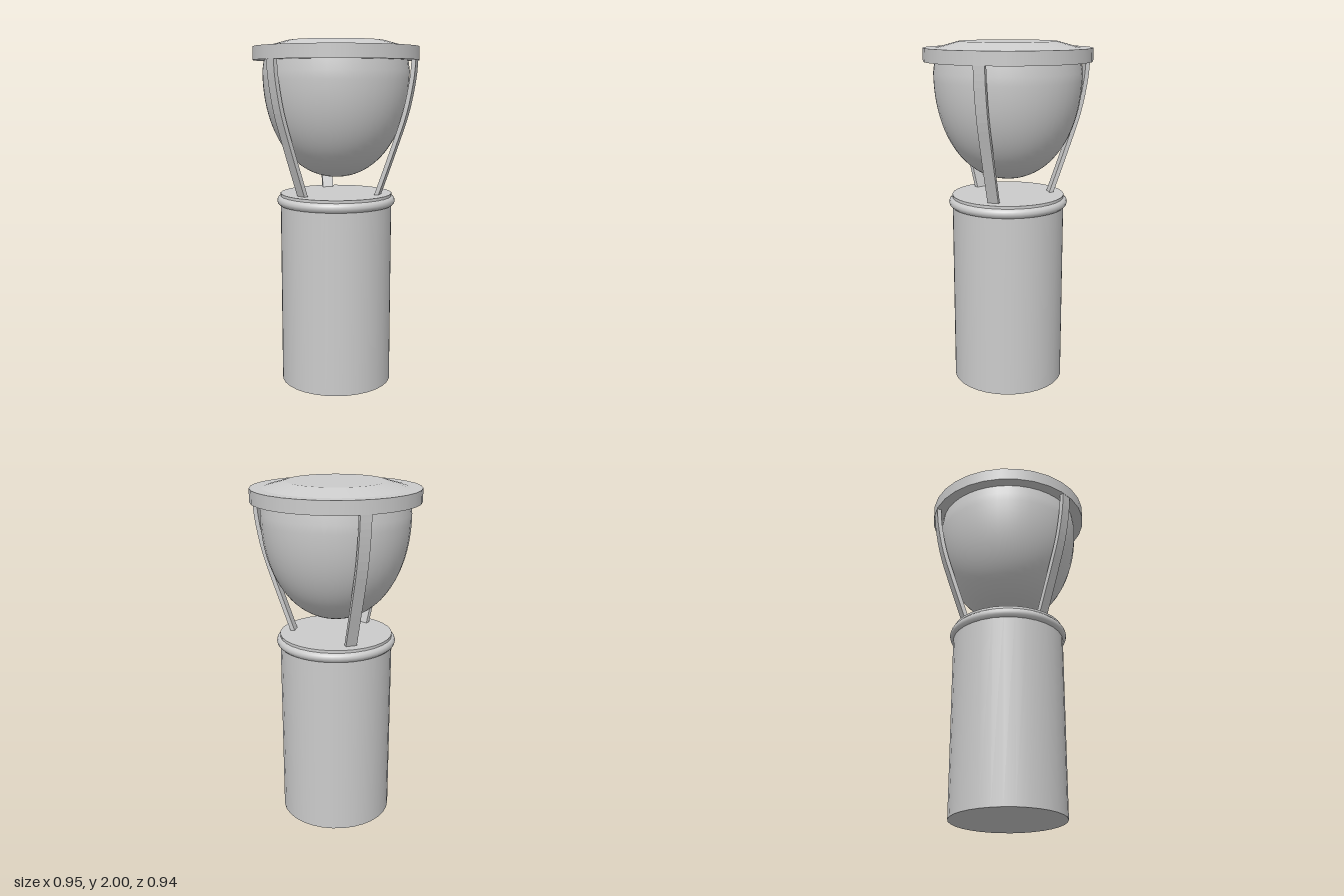
import * as THREE from 'three';

const grey = new THREE.MeshStandardMaterial({ color: 0xcccccc });

export function createModel() {
  const model = new THREE.Group();

  function add(name, geometry, y = 0, material = grey) {
    const mesh = new THREE.Mesh(geometry, material);
    mesh.name = name;
    mesh.position.y = y;
    model.add(mesh);
    return mesh;
  }

  // Post with a rounded collar just under its top
  add('post', new THREE.CylinderGeometry(0.325, 0.325, 1.13, 32), 0.565);
  add('collar', new THREE.TorusGeometry(0.316, 0.029, 12, 48).rotateX(Math.PI / 2), 1.087);

  // Egg-shaped bowl: slightly full ellipse, drawn in a little at the rim
  const profile = [];
  for (let i = 0; i <= 24; i++) {
    const a = (i / 24) * Math.PI / 2;
    profile.push(new THREE.Vector2(
      0.42 * Math.sin(a) ** (2 / 2.12),
      1.83 - 0.605 * Math.cos(a) ** (2 / 2.12)));
  }
  profile.push(new THREE.Vector2(0.41, 1.9));
  const bowlMaterial = grey.clone();
  bowlMaterial.side = THREE.DoubleSide;
  add('bowl', new THREE.LatheGeometry(profile, 40), 0, bowlMaterial);

  // Lid: thick rim disc with a bevelled cap
  const turn = Math.PI / 2;
  add('lidRim', new THREE.CylinderGeometry(0.475, 0.475, 0.075, 30, 1, false, turn), 1.9275);
  add('lidCap', new THREE.CylinderGeometry(0.278, 0.413, 0.037, 30, 1, false, turn), 1.9815);

  // Three curved flat arms carry the lid: one behind, two in front
  const path = new THREE.SplineCurve([
    [0.25, 1.12], [0.348, 1.4], [0.413, 1.6], [0.449, 1.78], [0.459, 1.9],
  ].map(([r, y]) => new THREE.Vector2(r, y)));
  const thickness = 0.024, width = 0.064;
  const outer = [], inner = [];
  for (let i = 0; i <= 16; i++) {
    const p = path.getPoint(i / 16);
    const t = path.getTangent(i / 16);
    const side = new THREE.Vector2(t.y, -t.x).multiplyScalar(thickness / 2);
    outer.push(p.clone().add(side));
    inner.unshift(p.clone().sub(side));
  }
  const armGeometry = new THREE.ExtrudeGeometry(
    new THREE.Shape([...outer, ...inner]), { depth: width, bevelEnabled: false });
  armGeometry.translate(0, 0, -width / 2);
  ['backArm', 'frontRightArm', 'frontLeftArm'].forEach((name, i) => {
    add(name, armGeometry).rotation.y = Math.PI / 2 + i * Math.PI * 2 / 3;
  });

  return model;
}
